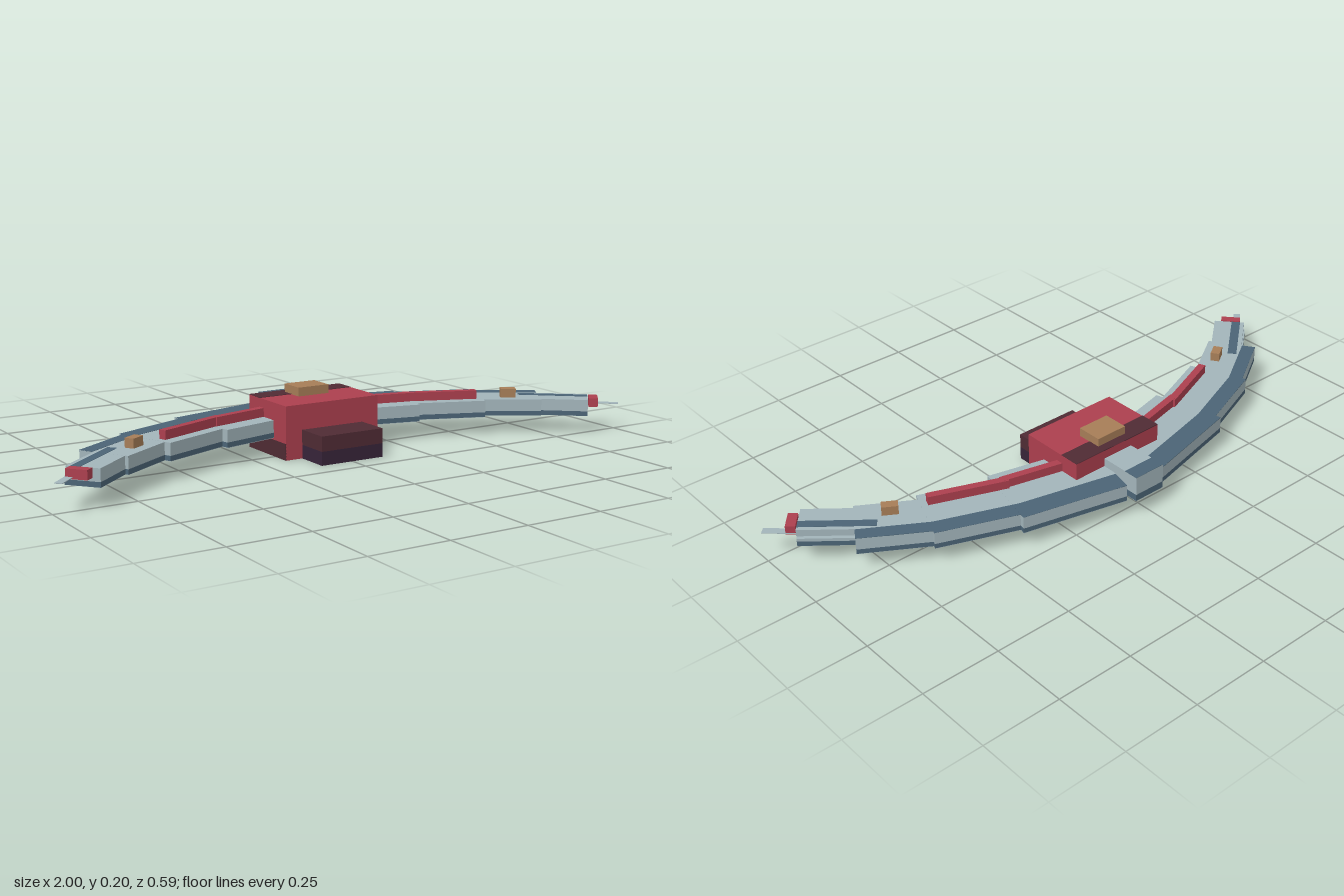
import * as THREE from 'three';

const mat = (name, color) => {
  const m = new THREE.MeshStandardMaterial({ color });
  m.name = name;
  return m;
};

export function createModel() {
  const red = mat('red', 0xac3f4e);
  const maroon = mat('maroon', 0x4f2b34);
  const purple = mat('dark purple', 0x372439);
  const pale = mat('pale grey', 0xa2b4ba);
  const blue = mat('slate blue', 0x4b6476);
  const tan = mat('tan', 0xa67d57);

  const model = new THREE.Group();
  model.name = 'curvedWing';

  // box given by its x, y and z ranges
  const box = (parent, name, m, [x0, x1], [y0, y1], [z0, z1]) => {
    const mesh = new THREE.Mesh(new THREE.BoxGeometry(x1 - x0, y1 - y0, z1 - z0), m);
    mesh.position.set((x0 + x1) / 2, (y0 + y1) / 2, (z0 + z1) / 2);
    mesh.name = name;
    parent.add(mesh);
    return mesh;
  };

  // central block with its dark panels
  box(model, 'core', red, [-0.168, 0.168], [0, 0.169], [-0.158, 0.065]);
  box(model, 'coreTopPanel', maroon, [-0.168, 0.168], [0.168, 0.1705], [-0.158, -0.09]);
  for (const s of [-1, 1]) {
    box(model, 'coreSidePanel', maroon, [s * 0.168 - 0.001, s * 0.168 + 0.001], [0, 0.052], [-0.158, 0.065]);
  }
  box(model, 'coreCap', tan, [-0.055, 0.055], [0.169, 0.197], [-0.13, -0.046]);

  // nose block
  box(model, 'noseLower', purple, [-0.11, 0.11], [0, 0.043], [0.06, 0.178]);
  box(model, 'noseUpper', maroon, [-0.11, 0.11], [0.043, 0.09], [0.06, 0.178]);

  // rear spine
  box(model, 'spineBase', blue, [-0.055, 0.055], [0.058, 0.08], [-0.3, -0.1]);
  box(model, 'spine', pale, [-0.055, 0.055], [0.08, 0.141], [-0.3, -0.1]);
  box(model, 'spineUnderside', pale, [-0.055, 0.055], [0.057, 0.058], [-0.3, -0.1]);
  box(model, 'spineStripe', blue, [-0.055, 0.055], [0.14, 0.142], [-0.3, -0.25]);

  // wing segments: rear outer corner, sweep in degrees, length, width, stripe width
  const segments = [
    { x: 0.41, z: -0.2, a: 13.4, len: 0.345, w: 0.243, stripe: 0.07 },
    { x: 0.647, z: -0.088, a: 21.4, len: 0.3, w: 0.2, stripe: 0.055 },
    { x: 0.83, z: 0.04, a: 32, len: 0.26, w: 0.163, stripe: 0.045 },
    { x: 0.936, z: 0.185, a: 40, len: 0.23, w: 0.108, stripe: 0.03 },
  ];

  for (const s of [1, -1]) {
    const wing = new THREE.Group();
    wing.name = s > 0 ? 'leftWing' : 'rightWing';
    model.add(wing);

    // group at a point of the wing, turned by the sweep angle
    const frame = (name, x, z, deg) => {
      const g = new THREE.Group();
      g.name = name;
      g.position.set(s * x, 0, z);
      g.rotation.y = -s * THREE.MathUtils.degToRad(deg);
      wing.add(g);
      return g;
    };
    const span = (a, b) => (s > 0 ? [a, b] : [-b, -a]);

    segments.forEach(({ x, z, a, len, w, stripe }, i) => {
      const g = frame('wingSegment' + (i + 1), x, z, a);
      const d = i * 0.0004;
      const lx = span(-len, 0);
      box(g, 'underside', pale, lx, [0.057 + d, 0.0585], [0, w]);
      box(g, 'lowerBand', blue, lx, [0.0585, 0.074], [0, w]);
      if (i < 3) {
        box(g, 'panel', pale, lx, [0.074, 0.113 - d], [0, w]);
        box(g, 'rearStripe', blue, lx, [0.112 - d, 0.1138 - d], [0, stripe]);
      } else {
        // slotted outer segment
        box(g, 'lowerPanel', pale, lx, [0.074, 0.084], [0, w]);
        box(g, 'upperPanel', pale, lx, [0.084, 0.112], [0.022, w]);
        box(g, 'slotLip', pale, lx, [0.09, 0.112], [0.004, 0.022]);
        box(g, 'rearStripe', blue, lx, [0.111, 0.1128], [0.018, 0.018 + stripe]);
      }
    });

    // raised ridge along the top
    box(frame('innerRidge', 0.36, -0.035, 13.4), 'ridge', red, span(-0.26, 0), [0.11, 0.141], [-0.012, 0.012]);
    box(frame('outerRidge', 0.573, 0.045, 21.4), 'ridge', red, span(-0.25, 0), [0.11, 0.1405], [-0.012, 0.012]);

    // small block on the outer wing
    box(frame('wingBlock', 0.68, 0.081, 32), 'block', tan, span(-0.025, 0.025), [0.11, 0.141], [-0.015, 0.015]);

    // tip cap and thin blade
    box(frame('wingTip', 0.916, 0.237, 40), 'tipCap', red, span(-0.015, 0.015), [0.085, 0.1135], [-0.033, 0.033]);
    box(frame('tipBlade', 0.92, 0.208, 44), 'blade', pale, span(-0.02, 0.1), [0.089, 0.091], [-0.012, 0.012]);
  }

  return model;
}
